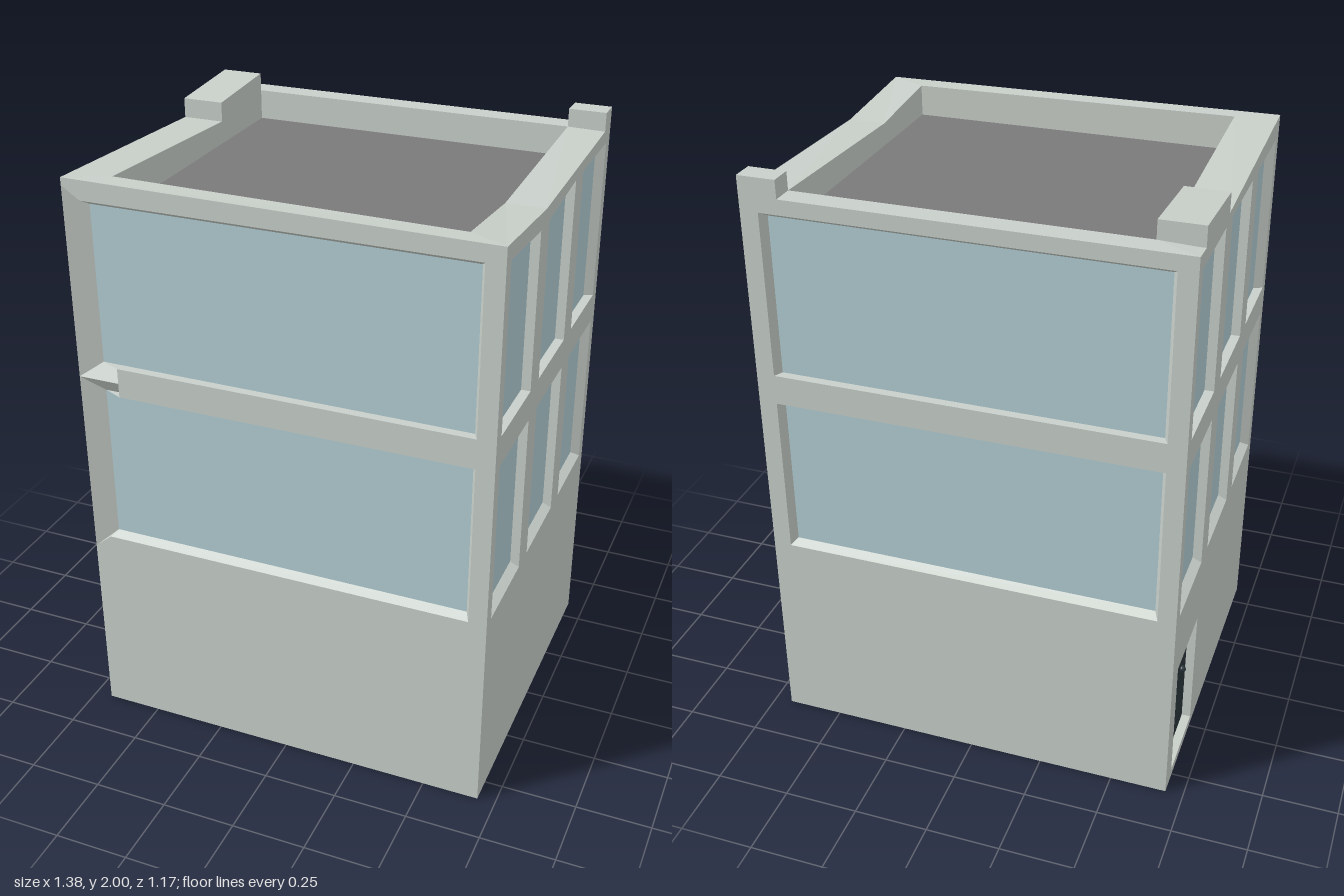
import * as THREE from 'three';

const mat = (color, side = THREE.DoubleSide) => new THREE.MeshStandardMaterial({ color, side, flatShading: true });
const wallMat = mat(0xc8cfc9), glassMat = mat(0xb2ced4), roofMat = mat(0x7a7a7a), doorMat = mat(0x2a363c);
const X = 0.69, Z = 0.585, DEPTH = 0.03;

// One mesh from a list of four-cornered faces (counter-clockwise)
function quads(name, faces, material) {
  const pos = [];
  for (const [a, b, c, d] of faces) pos.push(...a, ...b, ...c, ...a, ...c, ...d);
  const g = new THREE.BufferGeometry();
  g.setAttribute('position', new THREE.Float32BufferAttribute(pos, 3));
  g.computeVertexNormals();
  const m = new THREE.Mesh(g, material);
  m.name = name;
  return m;
}

// Flat wall in local (u, y), with holes
function wall(name, outline, holes = []) {
  const s = new THREE.Shape(outline.map(p => new THREE.Vector2(...p)));
  for (const h of holes) s.holes.push(new THREE.Path([...h].reverse().map(p => new THREE.Vector2(...p))));
  const m = new THREE.Mesh(new THREE.ShapeGeometry(s), wallMat);
  m.name = name;
  return m;
}

// Splayed reveal and pane behind an opening; sides lists the edges that get a reveal
function opening(name, outer, material, inner, sides = [0, 1, 2, 3]) {
  const o = outer.map(([u, y]) => [u, y, 0]);
  const n = inner.map(([u, y]) => [u, y, -DEPTH]);
  const g = new THREE.Group();
  g.name = name;
  g.add(quads(name + 'Reveal', sides.map(i => {
    const j = (i + 1) % 4;
    return [o[i], o[j], n[j], n[i]];
  }), wallMat), quads(name + 'Pane', [n], material));
  return g;
}

const rect = (u0, u1, y0, y1, yr = y1) => [[u0, y0], [u1, y0], [u1, yr], [u0, y1]];

// Only the edges at the ends of the facade are splayed
const inset = pts => pts.map(([u, y]) => [
  Math.abs(u) > 0.5 ? u - Math.sign(u) * 0.015 : u,
  y < 0.75 ? y + 0.015 : y > 1.88 ? y - 0.018 : y]);

function facade(name, angle, distance) {
  const g = new THREE.Group();
  g.name = name;
  g.rotation.y = angle;
  g.position.set(Math.sin(angle) * distance, 0, Math.cos(angle) * distance);
  return g;
}

export function createModel() {
  const model = new THREE.Group();
  model.name = 'building';

  // Front: openings run to the right corner, where the frame slopes into the glass
  const front = facade('frontFacade', 0, Z);
  front.add(wall('frontWall', [[-X, 0], [X, 0], [X, 1.945], [-X, 1.955], [-X, 1.93], [-0.63, 1.89],
    [0.63, 1.89], [0.63, 1.345], [-0.55, 1.345], [-0.55, 1.245], [0.63, 1.245], [0.63, 0.7], [-0.63, 0.7], [-X, 0.65]]));
  front.add(opening('frontLowerWindow', [[-0.63, 0.7], [0.63, 0.7], [0.63, 1.245], [-0.55, 1.245]], glassMat,
    rect(-0.615, 0.615, 0.715, 1.245), [0, 1, 2]));
  front.add(opening('frontUpperWindow', [[-0.55, 1.345], [0.63, 1.345], [0.63, 1.89], [-0.63, 1.89]], glassMat,
    rect(-0.615, 0.615, 1.345, 1.872), [0, 1, 2]));
  const cornerLow = [-X, 0.65, 0], cornerHigh = [-X, 1.93, 0];
  const low = [-0.615, 0.715, -DEPTH], high = [-0.615, 1.872, -DEPTH];
  front.add(quads('slopedCornerFrame', [
    [cornerLow, low, high, cornerHigh],
    [cornerLow, [-0.63, 0.7, 0], low, low],
    [cornerHigh, high, [-0.63, 1.89, 0], [-0.63, 1.89, 0]]], wallMat));
  // Ridge joining the middle bar to the corner
  const tip = [-X, 1.293, 0], mid = [-0.55, 1.293, 0];
  front.add(quads('cornerRidge', [
    [tip, mid, [-0.55, 1.345, -DEPTH], [-0.64, 1.345, -DEPTH]],
    [tip, [-0.63, 1.245, -DEPTH], [-0.55, 1.245, -DEPTH], mid],
    [[-0.55, 1.245, -DEPTH], [-0.55, 1.245, 0], [-0.55, 1.345, 0], [-0.55, 1.345, -DEPTH]]], wallMat));

  // Back: two wide windows
  const back = facade('backFacade', Math.PI, Z);
  const wide = [rect(-0.63, 0.63, 0.7, 1.245), rect(-0.63, 0.63, 1.345, 1.89)];
  back.add(wall('backWall', rect(-X, X, 0, 1.94), wide));
  wide.forEach((w, i) => back.add(opening(['backLowerWindow', 'backUpperWindow'][i], w, glassMat, inset(w))));

  // Sides: three bays of windows on two floors
  const bays = [[-0.54, -0.24], [-0.15, 0.15], [0.24, 0.54]];
  const left = facade('leftFacade', Math.PI / 2, X);
  const right = facade('rightFacade', -Math.PI / 2, X);
  const leftTops = [[1.89, 1.865], [1.865, 1.89], [1.89, 1.89]];
  const door = rect(-0.51, -0.235, 0.03, 0.465);
  for (const [g, name, outline, tops, extra] of [
    [left, 'left', [[-Z, 0], [Z, 0], [Z, 1.94], [-0.19, 1.915], [-Z, 1.945]], leftTops, []],
    [right, 'right', [[-Z, 0], [Z, 0], [Z, 1.955], [-0.2, 1.915], [-Z, 1.94]], Array(3).fill([1.885, 1.885]), [door]],
  ]) {
    const wins = bays.flatMap(([a, b], i) => [rect(a, b, 0.7, 1.245), rect(a, b, 1.345, ...tops[i])]);
    g.add(wall(name + 'Wall', outline, [...wins, ...extra]));
    wins.forEach((w, i) => g.add(opening(name + 'Window' + (i + 1), w, glassMat, inset(w))));
  }

  // Recessed door with a small handle
  right.add(opening('door', door, doorMat, door));
  const handle = new THREE.Mesh(new THREE.SphereGeometry(0.012, 8, 6), doorMat);
  handle.name = 'doorHandle';
  handle.position.set(-0.31, 0.3, -DEPTH + 0.006);
  right.add(handle);
  model.add(front, back, left, right);

  // Uneven parapet: outer and inner rings with matching heights [x, z, innerX, innerZ, y]
  const ring = [
    [-X, Z, -0.55, 0.52, 1.955], [X, Z, 0.565, 0.52, 1.945], [X, 0.19, 0.565, 0.19, 1.915],
    [X, -Z, 0.565, -0.51, 1.94], [-X, -Z, -0.55, -0.51, 1.94], [-X, -0.2, -0.55, -0.2, 1.915]];
  const roofY = 1.84, coping = [], lining = [];
  ring.forEach((a, i) => {
    const b = ring[(i + 1) % ring.length];
    const ia = [a[2], a[4], a[3]], ib = [b[2], b[4], b[3]];
    coping.push([[a[0], a[4], a[1]], [b[0], b[4], b[1]], ib, ia]);
    lining.push([ia, ib, [b[2], roofY, b[3]], [a[2], roofY, a[3]]]);
  });
  model.add(quads('parapetTop', coping, wallMat), quads('parapetInside', lining, wallMat));
  model.add(quads('roof', [[[-0.55, roofY, 0.52], [0.565, roofY, 0.52], [0.565, roofY, -0.51], [-0.55, roofY, -0.51]]], roofMat));
  model.add(quads('underside', [[[-X, 0, -Z], [X, 0, -Z], [X, 0, Z], [-X, 0, Z]]], roofMat));

  // Raised blocks on the parapet, with tops that may slope towards the front
  const block = (name, x0, x1, z0, z1, backTop, frontTop) => {
    const geo = new THREE.BoxGeometry(x1 - x0, 1, z1 - z0);
    geo.translate((x0 + x1) / 2, 0, (z0 + z1) / 2);
    const p = geo.attributes.position, zm = (z0 + z1) / 2;
    for (let i = 0; i < p.count; i++)
      p.setY(i, p.getY(i) < 0 ? 1.9 : p.getZ(i) < zm ? backTop : frontTop);
    geo.computeVertexNormals();
    const m = new THREE.Mesh(geo, wallMat);
    m.name = name;
    model.add(m);
  };
  block('rightParapetBlock', -X, -0.55, -0.51, -0.2, 2, 1.98);
  block('leftParapetBlock', 0.565, X, -Z, -0.51, 2, 2);

  return model;
}
